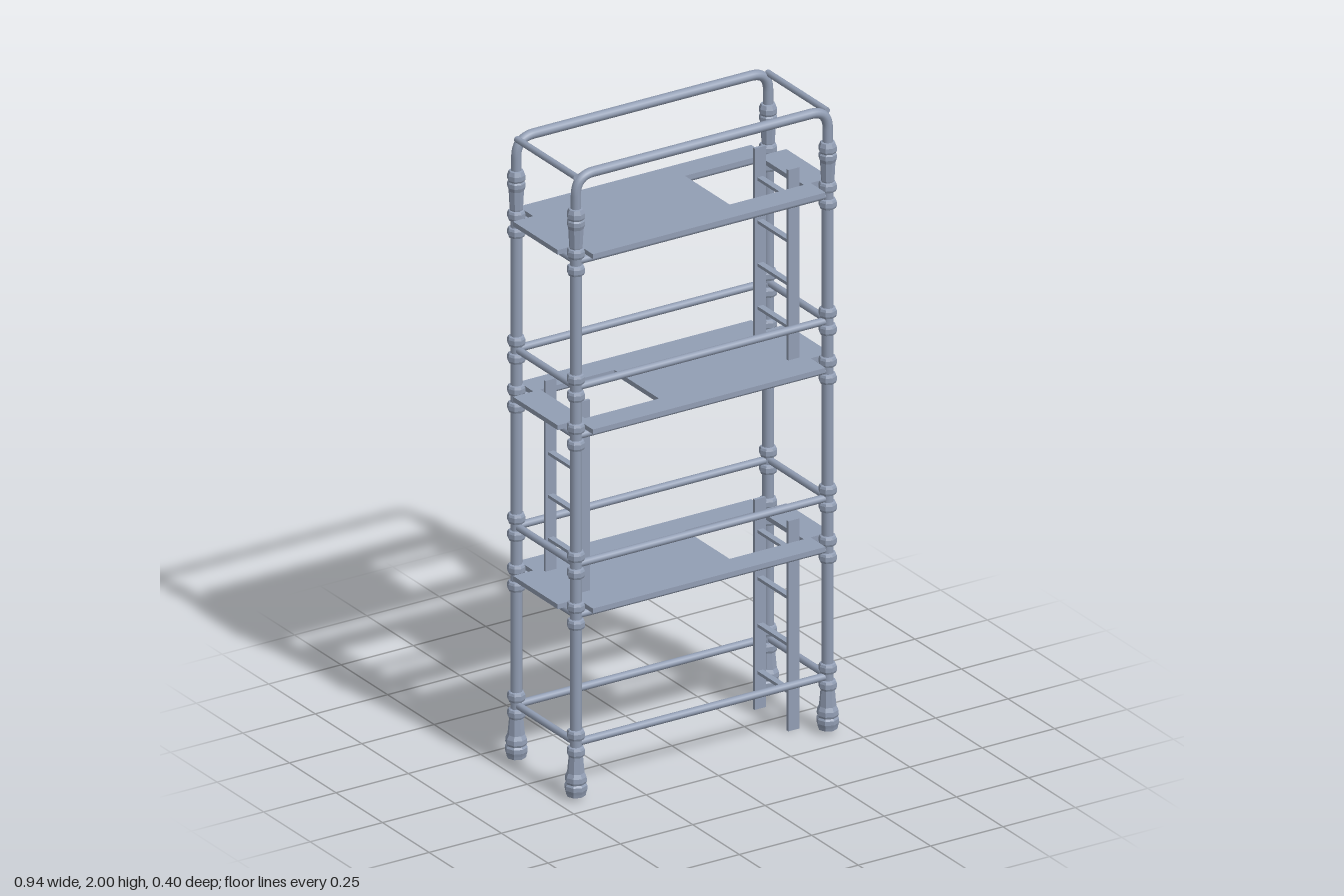
import * as THREE from 'three';

const X = 0.435, Z = 0.16; // post positions
const SIDES = 8;
const COLOR = 0x929eb4;
const mat = new THREE.MeshStandardMaterial({ color: COLOR, flatShading: true });
const smooth = new THREE.MeshStandardMaterial({ color: COLOR });

function add(parent, name, geo, x = 0, y = 0, z = 0, material = mat) {
  const m = new THREE.Mesh(geo, material);
  m.name = name;
  m.position.set(x, y, z);
  parent.add(m);
  return m;
}

function lathe(pairs) {
  return new THREE.LatheGeometry(pairs.map(([r, y]) => new THREE.Vector2(r, y)), SIDES);
}

// horizontal pipe along x or z
function pipe(parent, name, axis, len, r, x, y, z) {
  const g = new THREE.CylinderGeometry(r, r, len, 10);
  if (axis === 'x') g.rotateZ(Math.PI / 2); else g.rotateX(Math.PI / 2);
  return add(parent, name, g, x, y, z, smooth);
}

// notched platform with a hatch opening; side = +1 or -1 puts the hatch at +x or -x
function deckGeometry(side) {
  const s = new THREE.Shape();
  const outline = [[0.402, -0.2], [0.402, -0.12], [0.472, -0.12], [0.472, 0.12], [0.402, 0.12], [0.402, 0.2]];
  const all = [...outline, ...outline.map(([x, z]) => [-x, -z])];
  s.setFromPoints(all.map(([x, z]) => new THREE.Vector2(x, z)));
  const h = [[0.122, -0.12], [0.122, 0.12], [0.378, 0.12], [0.378, -0.12]];
  s.holes.push(new THREE.Path(h.map(([x, z]) => new THREE.Vector2(side * x, z))));
  const g = new THREE.ExtrudeGeometry(s, { depth: 0.015, bevelEnabled: false });
  return g.rotateX(-Math.PI / 2);
}

function ladder(name, x, z, y0, y1, firstRung, step) {
  const g = new THREE.Group();
  g.name = name;
  for (const s of [-1, 1]) {
    add(g, 'ladderRail', new THREE.BoxGeometry(0.038, y1 - y0, 0.009), x, (y0 + y1) / 2, z + s * 0.09);
  }
  for (let i = 0; i < 4; i++) {
    add(g, 'rung', new THREE.BoxGeometry(0.02, 0.01, 0.18), x, firstRung + i * step, z);
  }
  return g;
}

export function createModel() {
  const model = new THREE.Group();
  model.name = 'scaffoldTower';
  const joints = [0.178, 0.585, 0.747, 1.156, 1.312, 1.713];

  const foot = lathe([[0, 0.012], [0.029, 0.012], [0.031, 0.022], [0.034, 0.032], [0.034, 0.045], [0.03, 0.051],
    [0.033, 0.058], [0.032, 0.072], [0.026, 0.085], [0.021, 0.14], [0.018, 0.15]]);
  const collar = lathe([[0.017, -0.017], [0.024, -0.014], [0.027, -0.007], [0.027, 0.007], [0.024, 0.014], [0.017, 0.017]]);
  const topSocket = lathe([[0.018, 1.75], [0.02, 1.76], [0.023, 1.818], [0.027, 1.83], [0.027, 1.843],
    [0.024, 1.848], [0.027, 1.854], [0.027, 1.868], [0.022, 1.881], [0.013, 1.883]]);

  // posts with feet, joint collars and top sockets
  for (const sx of [-1, 1]) for (const sz of [-1, 1]) {
    const post = new THREE.Group();
    post.name = 'post';
    post.position.set(sx * X, 0, sz * Z);
    add(post, 'postTube', new THREE.CylinderGeometry(0.018, 0.018, 1.68, 10), 0, 0.94, 0, smooth);
    add(post, 'foot', foot);
    add(post, 'topSocket', topSocket);
    for (const y of joints) for (const s of [-1, 1]) add(post, 'collar', collar, 0, y + s * 0.027, 0);
    model.add(post);
  }

  // horizontal rails at every joint level
  for (const y of joints) for (const s of [-1, 1]) {
    pipe(model, 'longRail', 'x', 2 * X, 0.012, 0, y, s * Z);
    pipe(model, 'endRail', 'z', 2 * Z, 0.011, s * X, y, 0);
  }

  // top guard: bent tubes front and back, joined by end bars
  const top = 1.984, bend = 0.06;
  const path = new THREE.CurvePath();
  const v = (x, y) => new THREE.Vector3(x, y, 0);
  path.add(new THREE.LineCurve3(v(-X, 1.87), v(-X, top - bend)));
  path.add(new THREE.QuadraticBezierCurve3(v(-X, top - bend), v(-X, top), v(-X + bend, top)));
  path.add(new THREE.LineCurve3(v(-X + bend, top), v(X - bend, top)));
  path.add(new THREE.QuadraticBezierCurve3(v(X - bend, top), v(X, top), v(X, top - bend)));
  path.add(new THREE.LineCurve3(v(X, top - bend), v(X, 1.87)));
  const guard = new THREE.TubeGeometry(path, 120, 0.0155, 10);
  for (const s of [-1, 1]) {
    add(model, 'topGuard', guard, 0, 0, s * Z, smooth);
    pipe(model, 'topEndBar', 'z', 2 * Z, 0.01, s * (X - 0.002), 1.98, 0);
  }

  // platforms with alternating hatches
  [[0.597, 1], [1.168, -1], [1.727, 1]].forEach(([y, side]) => add(model, 'deck', deckGeometry(side), 0, y, 0));

  // ladders through the hatches
  model.add(ladder('lowerLadder', 0.358, 0.003, 0, 0.67, 0.117, 0.15));
  model.add(ladder('middleLadder', -0.358, -0.008, 0.608, 1.22, 0.713, 0.137));
  model.add(ladder('upperLadder', 0.358, 0.003, 1.18, 1.79, 1.28, 0.137));

  return model;
}
